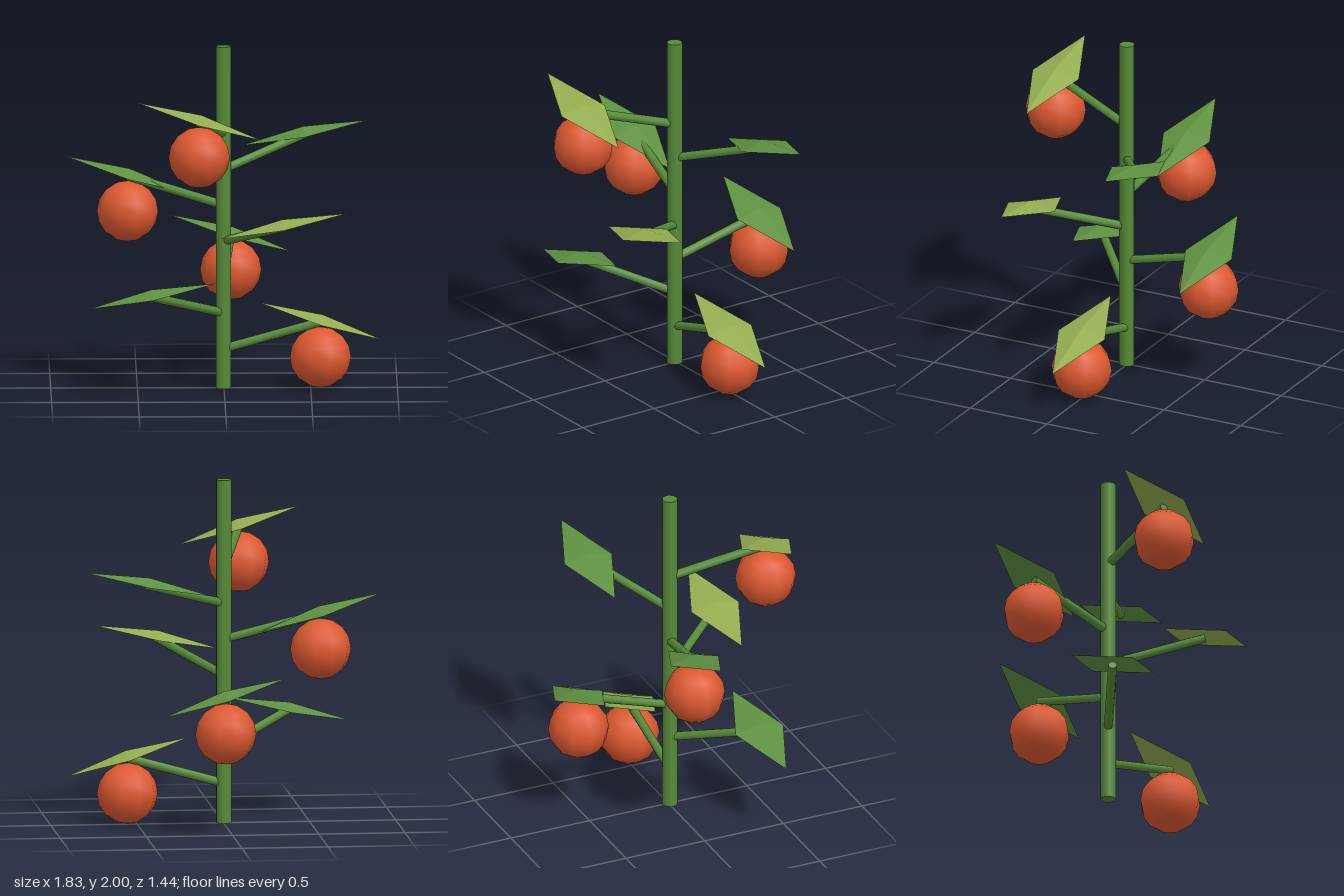
import * as THREE from 'three';

const paint = (color, extra = {}) => new THREE.MeshStandardMaterial({ color, ...extra });

export function createModel() {
  const plant = new THREE.Group();
  plant.name = 'fruitingVine';

  const stemGreen = paint(0x568a38);
  const leafGreen = paint(0x5f9140, { flatShading: true, side: THREE.DoubleSide });
  const leafOlive = paint(0x93ad50, { flatShading: true, side: THREE.DoubleSide });
  const fruitRed = paint(0xdc5830);

  const add = (name, geometry, material, position) => {
    const mesh = new THREE.Mesh(geometry, material);
    mesh.name = name;
    mesh.position.copy(position);
    plant.add(mesh);
    return mesh;
  };

  // Upright stem
  add('stem', new THREE.CylinderGeometry(0.045, 0.045, 2, 10), stemGreen, new THREE.Vector3(0, 1, 0));

  // Leaf: shallow open four-sided tent, long along x
  const leafGeometry = new THREE.ConeGeometry(1, 1, 4, 1, true);
  leafGeometry.translate(0, 0.5, 0).scale(0.378, 0.04, 0.151);
  const fruitGeometry = new THREE.SphereGeometry(0.177, 10, 8);

  // Branches spiral up the stem by the golden angle
  const up = new THREE.Vector3(0, 1, 0);
  const reach = 0.56;
  for (let i = 0; i < 7; i++) {
    const angle = THREE.MathUtils.degToRad(137.5 * i);
    const start = new THREE.Vector3(0, 0.23 + 0.21 * i, 0);
    const tip = new THREE.Vector3(reach * Math.cos(angle), start.y + 0.155, reach * Math.sin(angle));
    const along = tip.clone().sub(start);

    const branch = add('branch' + (i + 1), new THREE.CylinderGeometry(0.026, 0.026, along.length(), 8),
      stemGreen, start.clone().lerp(tip, 0.5));
    branch.quaternion.setFromUnitVectors(up, along.normalize());

    const leaf = add('leaf' + (i + 1), leafGeometry, i % 3 ? leafGreen : leafOlive,
      new THREE.Vector3(tip.x, 0.39 + 0.21 * i, tip.z));
    leaf.rotation.z = i % 2 ? 0.2 : -0.3;

    // Every other branch carries a fruit
    if (i % 2 === 0) {
      add('fruit' + (i / 2 + 1), fruitGeometry, fruitRed,
        new THREE.Vector3(tip.x, 0.18 + 0.21 * i, tip.z));
    }
  }

  plant.position.set(-0.004, 0, 0.008);
  return plant;
}
